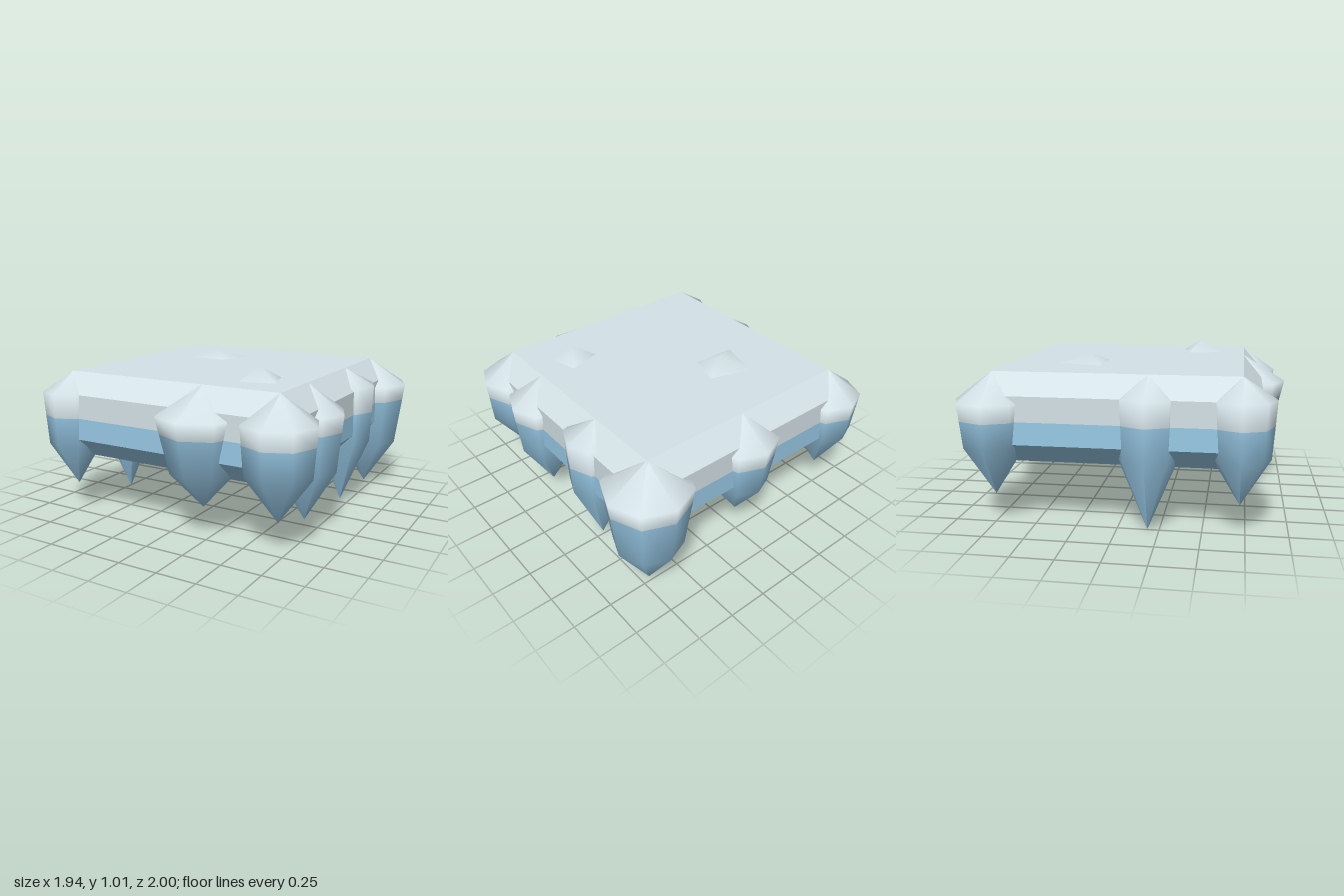
import * as THREE from 'three';

const SNOW_LINE = 0.66;
const TOP = 0.935;

export function createModel() {
  const group = new THREE.Group();
  const snow = new THREE.MeshStandardMaterial({ color: 0xd4e2e7 });
  snow.name = 'snow';
  const ice = new THREE.MeshStandardMaterial({ color: 0x98c9e6 });
  ice.name = 'ice';

  const add = (name, geometry, material, x = 0, z = 0) => {
    const mesh = new THREE.Mesh(geometry, material);
    mesh.name = name;
    mesh.position.set(x, 0, z);
    group.add(mesh);
  };

  // Square slab, stacked in flat-shaded layers with bevelled rims
  const layer = (name, y0, y1, half0, half1, open, material) => {
    const s = Math.SQRT2;
    let g = new THREE.CylinderGeometry(half1 * s, half0 * s, y1 - y0, 4, 1, open);
    g.rotateY(Math.PI / 4).translate(0, (y0 + y1) / 2, 0);
    g = g.toNonIndexed();
    g.computeVertexNormals();
    add(name, g, material, -0.02, -0.0125);
  };
  layer('slabUnderside', 0.4, 0.525, 0.725, 0.845, false, ice);
  layer('slabIceBand', 0.525, SNOW_LINE, 0.845, 0.845, true, ice);
  layer('slabSnowBand', SNOW_LINE, 0.81, 0.845, 0.845, true, snow);
  layer('slabSnowTop', 0.81, TOP, 0.845, 0.727, false, snow);

  // Eight-sided icicles: snow cap above the snow line, ice below
  const icicle = (name, x, z, r, shoulderY, lowR, lowY, tipY) => {
    const t = (SNOW_LINE - lowY) / (shoulderY - lowY);
    const profile = [
      [0, tipY], [lowR, lowY], [lowR + (r - lowR) * t, SNOW_LINE], [r, shoulderY], [0, TOP],
    ].map(([px, py]) => new THREE.Vector2(px, py));
    const g = new THREE.LatheGeometry(profile, 8);
    for (let i = 0; i < 8; i++) {
      g.addGroup(i * 24, 12, 0);
      g.addGroup(i * 24 + 12, 12, 1);
    }
    add(name, g, [ice, snow], x, z);
  };
  icicle('frontRightIcicle', -0.75, 0.715, 0.193, 0.81, 0.17, 0.47, 0.19);
  icicle('frontLeftIcicle', 0.705, 0.715, 0.227, 0.77, 0.205, 0.48, 0.195);
  icicle('backRightIcicle', -0.75, -0.74, 0.225, 0.765, 0.195, 0.5, 0.19);
  icicle('backLeftIcicle', 0.705, -0.735, 0.265, 0.765, 0.21, 0.35, 0.03);
  icicle('frontIcicle', 0.215, 0.715, 0.28, 0.765, 0.2, 0.42, 0.2);
  icicle('backIcicle', 0.01, -0.74, 0.23, 0.77, 0.185, 0.45, 0.195);
  icicle('leftFrontIcicle', 0.705, 0.35, 0.23, 0.765, 0.195, 0.42, 0.09);
  icicle('leftBackIcicle', 0.705, -0.25, 0.2, 0.83, 0.185, 0.47, 0.035);
  icicle('rightIcicle', -0.745, 0.18, 0.195, 0.81, 0.18, 0.45, 0.01);

  // Low snow mounds on the top: apex followed by base corners [x, z]
  const mound = (name, apex, corners) => {
    const points = [...apex];
    for (const [x, z] of corners) points.push(x, TOP - 0.005, z);
    const index = [];
    for (let i = 0; i < 4; i++) index.push(0, 1 + i, 1 + ((i + 1) % 4));
    const g = new THREE.BufferGeometry();
    g.setAttribute('position', new THREE.Float32BufferAttribute(points, 3));
    g.setIndex(index);
    g.computeVertexNormals();
    add(name, g, snow);
  };
  mound('backMound', [-0.26, 0.99, -0.25],
    [[-0.37, -0.45], [-0.45, -0.15], [-0.15, -0.14], [-0.08, -0.36]]);
  mound('frontMound', [0.43, 1.02, 0.42],
    [[0.29, 0.34], [0.35, 0.55], [0.57, 0.49], [0.51, 0.28]]);

  return group;
}
